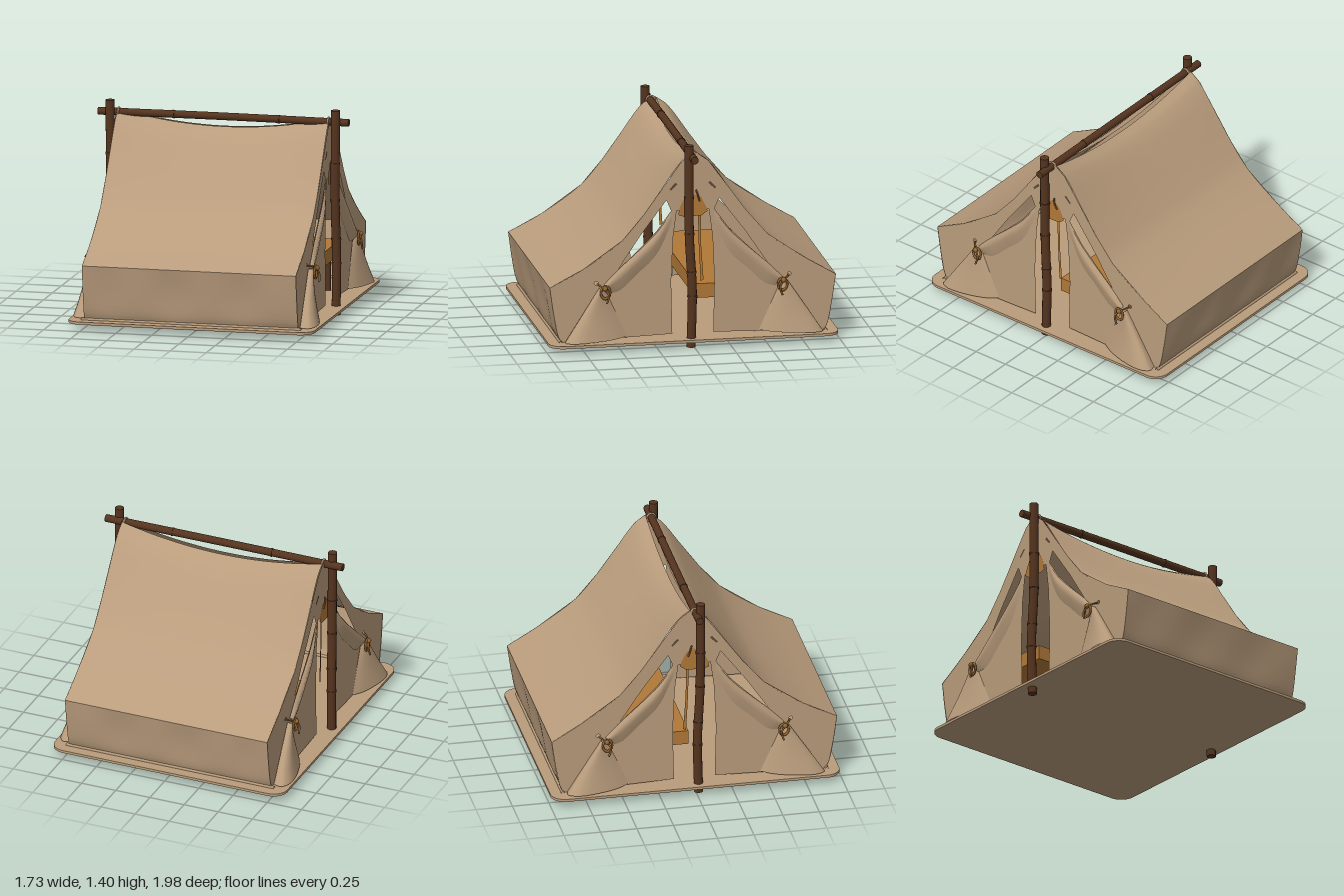
import * as THREE from 'three';

const mat = (name, color, side = THREE.FrontSide) => {
  const m = new THREE.MeshStandardMaterial({ color, side });
  m.name = name;
  return m;
};
const V = (p) => new THREE.Vector3(...p);

export function createModel() {
  const canvas = mat('canvas', 0xb99c7c, THREE.DoubleSide);
  const wood = mat('dark wood', 0x55341f);
  const leather = mat('leather', 0xb07838, THREE.DoubleSide);
  const rope = mat('rope', 0x94642f);
  const slotDark = mat('slot shadow', 0x5c4a39, THREE.DoubleSide);

  const add = (parent, name, geo, material) => {
    const m = new THREE.Mesh(geo, material);
    m.name = name;
    parent.add(m);
    return m;
  };

  // Surface from equal-length rows of points
  const loft = (rows) => {
    const n = rows[0].length, idx = [];
    for (let i = 0; i < rows.length - 1; i++)
      for (let j = 0; j < n - 1; j++) {
        const a = i * n + j, b = a + n;
        idx.push(a, b, a + 1, b, b + 1, a + 1);
      }
    const g = new THREE.BufferGeometry();
    g.setAttribute('position', new THREE.Float32BufferAttribute(rows.flat(2), 3));
    g.setIndex(idx);
    g.computeVertexNormals();
    return g;
  };
  const smooth = (pts, n) =>
    new THREE.CatmullRomCurve3(pts.map(V)).getPoints(n).map((p) => p.toArray());
  const tube = (pts, r, seg = 16, sides = 8) =>
    new THREE.TubeGeometry(new THREE.CatmullRomCurve3(pts.map(V)), seg, r, sides);

  // Flat outline drawn in (z, y), turned to face along x
  const shapeOf = (pts) => new THREE.Shape(pts.map(([z, y]) => new THREE.Vector2(z, y)));
  const sidePlate = (pts, holes, x) => {
    const s = shapeOf(pts);
    s.holes = holes.map(shapeOf);
    return new THREE.ShapeGeometry(s).rotateY(-Math.PI / 2).translate(x, 0, 0);
  };

  const tent = new THREE.Group();
  tent.name = 'tent';

  // Ground sheet with rounded corners
  const W = 0.85, D = 0.99, R = 0.1;
  const fs = new THREE.Shape();
  fs.absarc(W - R, D - R, R, 0, Math.PI / 2);
  fs.absarc(-W + R, D - R, R, Math.PI / 2, Math.PI);
  fs.absarc(-W + R, -D + R, R, Math.PI, Math.PI * 1.5);
  fs.absarc(W - R, -D + R, R, Math.PI * 1.5, Math.PI * 2);
  const floor = new THREE.ExtrudeGeometry(fs, { depth: 0.018, bevelEnabled: false, curveSegments: 8 });
  add(tent, 'groundSheet', floor.rotateX(-Math.PI / 2).translate(0, 0.045, 0), canvas);

  // Half profiles (z, y) of wall and roof
  const wallP = [[0.9, 0.062], [0.925, 0.12], [0.955, 0.28], [0.978, 0.445]];
  const roofP = [[0.978, 0.445], [0.76, 0.565], [0.495, 0.75], [0.35, 0.92], [0.235, 1.08], [0.09, 1.28], [0.015, 1.335]];
  const HX = 0.74;
  const lean = (y) => (y > 0.5 ? -0.015 : 0);
  const sheet = (profile, side, n, shape) => {
    const pts = smooth(profile.map(([z, y]) => [0, y, z * side + lean(y)]), n);
    const rows = [];
    for (let i = 0; i <= 32; i++) {
      const x = -HX + (2 * HX * i) / 32;
      rows.push(pts.map(([, y, z]) => shape(x, y, z, side)));
    }
    return loft(rows);
  };
  // Roof droops between the poles; walls ripple slightly
  const sag = (x, y, z) => {
    const k = Math.max(0, (y - 0.445) / 0.89);
    return [x * (1 - 0.01 * k), y - 0.088 * (1 - (x / HX) ** 2) * k * k, z];
  };
  const ripple = (x, y, z, side) => {
    const k = Math.sin(Math.PI * Math.min(1, Math.max(0, (y - 0.062) / 0.383)));
    return [x, y, z + side * k * (0.006 * Math.sin(x * 13) - 0.01 * (1 - (x / HX) ** 2))];
  };
  for (const side of [1, -1]) {
    const label = side > 0 ? 'front' : 'back';
    add(tent, label + 'Roof', sheet(roofP, side, 24, sag), canvas);
    add(tent, label + 'Wall', sheet(wallP, side, 10, ripple), canvas);
    add(tent, label + 'WallHem', tube([[-0.76, 0.066, side * 0.905], [0.76, 0.066, side * 0.905]], 0.012, 2, 6), canvas);
  }

  // Wooden pole with knots, along a gently bent path
  const pole = (name, parent, pts, r, knots) => {
    const g = new THREE.Group();
    g.name = name;
    parent.add(g);
    const curve = new THREE.CatmullRomCurve3(pts.map(V));
    add(g, name + 'Shaft', new THREE.TubeGeometry(curve, 16, r, 12), wood);
    const up = new THREE.Vector3(0, 1, 0);
    for (const [t, h, k] of [...knots.map((t) => [t, 0.014, 1.12]), [0, 0.004, 1], [1, 0.004, 1]]) {
      const ring = add(g, name + 'Knot', new THREE.CylinderGeometry(r * k, r * k, h, 12), wood);
      ring.position.copy(curve.getPointAt(t));
      ring.quaternion.setFromUnitVectors(up, curve.getTangentAt(t));
    }
  };
  pole('ridgePole', tent, [[-0.865, 1.315, 0.01], [0, 1.318, 0.008], [0.865, 1.315, 0.01]], 0.026, [0.3, 0.72]);

  // Both gable ends share one construction
  const roofEdge = (s) => [...wallP.slice(0, 3), ...roofP].map(([z, y]) => [s * z + lean(y), y]);
  const doorEdge = [[0.14, 0.085], [0.148, 0.45], [0.135, 0.75], [0.11, 0.94]];
  const vent = [[0.18, 1.015], [0.148, 0.94], [0.25, 0.8], [0.38, 0.67], [0.51, 0.55], [0.36, 0.775]];
  const flip = (pts) => pts.map(([z, y]) => [-z, y]);
  const eyelet = Array.from({ length: 10 }, (_, i) => [0.66 + 0.014 * Math.cos(i * 0.628), 0.462 + 0.012 * Math.sin(i * 0.628)]);

  for (const sx of [1, -1]) {
    const end = new THREE.Group();
    end.name = sx > 0 ? 'leftEnd' : 'rightEnd';
    end.scale.x = sx;
    tent.add(end);

    pole('uprightPole', end, [[0.78, 0.002, 0.02], [0.782, 0.4, 0.012], [0.777, 0.75, 0.03], [0.78, 1.398, 0.034]], 0.031, [0.25, 0.37, 0.56, 0.74]);

    // Gable panel with doorway, vents and eyelets
    const outline = [
      ...roofEdge(1), ...roofEdge(-1).reverse(),
      ...flip(doorEdge), ...doorEdge.slice().reverse(),
    ];
    add(end, 'gablePanel', sidePlate(outline, [vent, flip(vent), eyelet, flip(eyelet)], 0.737), canvas);

    for (const s of [1, -1]) {
      // Flared gore pegged out at the corner
      const foot = smooth([[0.742, 0.085, 0.45 * s], [0.79, 0.078, 0.54 * s], [0.835, 0.075, 0.7 * s], [0.838, 0.072, 0.82 * s], [0.8, 0.07, 0.88 * s], [0.742, 0.07, 0.87 * s]], 14);
      const tip = [0.772, 0.43, 0.62 * s];
      const rows = [0, 0.25, 0.5, 0.75, 1].map((t) => foot.map((p) => p.map((c, i) => {
        const top = i === 2 ? tip[2] + 0.08 * (c - tip[2]) : i === 0 ? 0.742 + (c - 0.742) * 0.35 : tip[1];
        return top + (c - top) * (i === 0 ? t * t * 0.6 + t * 0.4 : t);
      })));
      add(end, 'cornerGore', loft(rows), canvas);

      // Gathered fold from the doorway top to the tie
      const fold = [[0, 0], [0.028, 0.02], [0.024, 0.07], [0, 0.15]].map(([dx, dy]) => smooth([
        [0.741, 0.93 - dy * 0.5, 0.145 * s],
        [0.741 + dx * 0.8, 0.79 - dy, 0.25 * s],
        [0.741 + dx, 0.665 - dy, 0.38 * s],
        [0.743 + dx, 0.55 - dy, 0.51 * s],
        [0.745 + dx, 0.45 - dy * 0.4, 0.61 * s]], 14));
      add(end, 'flapFold', loft(fold), canvas);

      // Rope tie: loop, knot and tails
      const loop = add(end, 'tieLoop', new THREE.TorusGeometry(0.032, 0.008, 6, 16), rope);
      loop.position.set(0.785, 0.405, 0.605 * s);
      loop.rotation.y = Math.PI / 2;
      loop.scale.y = 1.3;
      const knot = add(end, 'tieKnot', new THREE.SphereGeometry(0.017, 10, 8), rope);
      knot.position.set(0.795, 0.435, 0.61 * s);
      add(end, 'tieTail', tube([[0.79, 0.435, 0.61 * s], [0.805, 0.39, 0.585 * s], [0.808, 0.335, 0.6 * s]], 0.007, 8, 6), rope);
      add(end, 'tieCord', tube([[0.79, 0.435, 0.61 * s], [0.765, 0.45, 0.64 * s], [0.74, 0.458, 0.655 * s]], 0.006, 8, 6), rope);

      // Small slit near the peak
      const slit = [[0.105, 1.125], [0.12, 1.135], [0.16, 1.09], [0.15, 1.08]];
      add(end, 'peakSlit', sidePlate(s > 0 ? slit : flip(slit), [], 0.741), slotDark);
    }

    // Leather peak patch and hanging strap
    const patch = [[0.1, 0.91], [0.09, 0.96], [0.055, 1.03], [0, 1.052], [-0.055, 1.03], [-0.09, 0.96], [-0.1, 0.93], [-0.06, 0.9], [0.06, 0.895]];
    add(end, 'peakPatch', sidePlate(patch, [], 0.743), leather);
    const strap = [[-0.035, 1.0], [-0.055, 1.0], [-0.058, 0.7], [-0.075, 0.45], [-0.055, 0.44], [-0.042, 0.7]];
    add(end, 'hangingStrap', sidePlate(strap, [], 0.73), leather);
    add(end, 'strapCord', tube([[0.747, 1.08, -0.02], [0.755, 1.05, -0.03], [0.747, 1.0, -0.045]], 0.006, 8, 6), rope);

    // Cord binding the canvas peak to the ridge pole
    const bind = add(end, 'peakLashing', new THREE.TorusGeometry(0.03, 0.007, 6, 16), canvas);
    bind.position.set(0.725, 1.315, 0.008);
    bind.rotation.y = Math.PI / 2;
  }

  // Low cot inside, on four legs
  const cot = new THREE.Group();
  cot.name = 'cot';
  tent.add(cot);
  add(cot, 'cotBed', new THREE.BoxGeometry(1.36, 0.08, 0.5).translate(0, 0.35, -0.28), leather);
  add(cot, 'cotRail', new THREE.BoxGeometry(1.36, 0.018, 0.5).translate(0, 0.399, -0.28), leather);
  for (const x of [-0.6, 0.6])
    for (const z of [-0.22, -0.48])
      add(cot, 'cotLeg', new THREE.CylinderGeometry(0.02, 0.02, 0.26, 10).translate(x, 0.19, z), wood);

  return tent;
}
